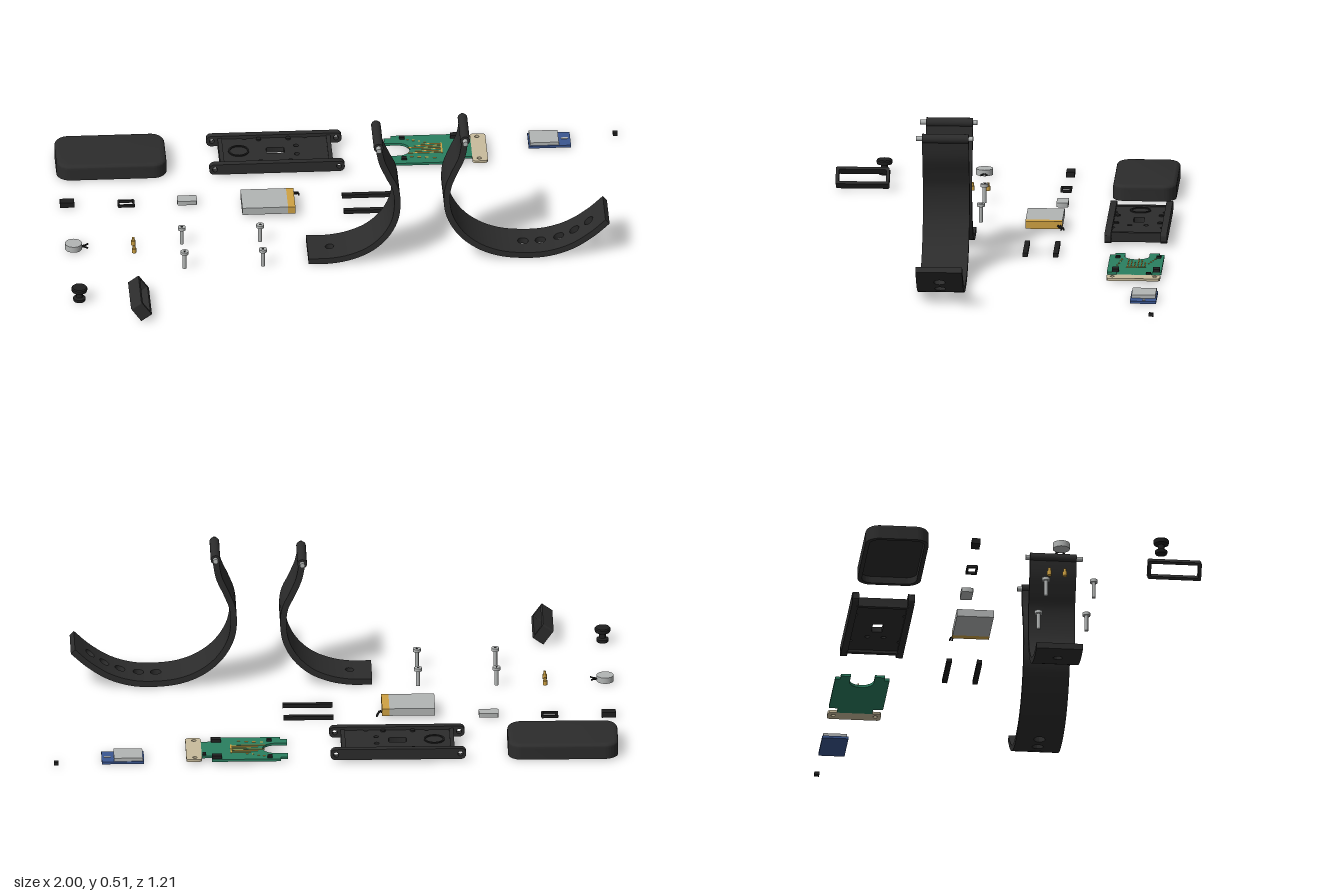
import * as THREE from 'three';
import { toCreasedNormals } from 'three/addons/utils/BufferGeometryUtils.js';

export function createModel() {
  const root = new THREE.Group();
  const paint = (name, color) => {
    const m = new THREE.MeshStandardMaterial({ color });
    m.name = name;
    return m;
  };
  const black = paint('black plastic', 0x2c2c2c);
  const dark = paint('dark rubber', 0x1f1f1f);
  const grey = paint('steel grey', 0xb2b5b4);
  const green = paint('board green', 0x2a7f60);
  const beige = paint('bare board beige', 0xc9bc9c);
  const blue = paint('module blue', 0x3a5690);
  const gold = paint('gold', 0xcfa243);

  const add = (name, geo, mat, x = 0, y = 0, z = 0) => {
    const m = new THREE.Mesh(geo, mat);
    m.name = name;
    m.position.set(x, y, z);
    root.add(m);
    return m;
  };
  // box given by its limits
  const box = (name, mat, x0, x1, y0, y1, z0, z1) => add(name,
    new THREE.BoxGeometry(x1 - x0, y1 - y0, z1 - z0), mat, (x0 + x1) / 2, (y0 + y1) / 2, (z0 + z1) / 2);
  // upright cylinder from y0 to y1
  const cyl = (name, mat, r, x, y0, y1, z, n = 24) =>
    add(name, new THREE.CylinderGeometry(r, r, y1 - y0, n), mat, x, (y0 + y1) / 2, z);
  // cylinder along z
  const rod = (name, mat, r, x, y, z0, z1) =>
    add(name, new THREE.CylinderGeometry(r, r, z1 - z0, 20).rotateX(Math.PI / 2), mat, x, y, (z0 + z1) / 2);
  const tube = (name, mat, r, pts) => add(name, new THREE.TubeGeometry(
    new THREE.CatmullRomCurve3(pts.map(p => new THREE.Vector3(...p))), 16, r, 8), mat);

  // rounded rectangle outline, centred on (cx, cy)
  const roundRect = (w, h, r, cx = 0, cy = 0, Type = THREE.Shape) => {
    const s = new Type();
    const a = w / 2 - r, b = h / 2 - r;
    [[a, b], [-a, b], [-a, -b], [a, -b]].forEach(([x, y], i) =>
      s.absarc(cx + x, cy + y, r, i * Math.PI / 2, (i + 1) * Math.PI / 2, false));
    s.closePath();
    return s;
  };
  const circle = (x, y, r) => new THREE.Path().absarc(x, y, r, 0, Math.PI * 2, false);
  // horizontal plate: shape y becomes -z
  const plate = (name, mat, shape, y0, y1, x = 0, z = 0, bevel = 0) => {
    const g = new THREE.ExtrudeGeometry(shape, {
      depth: y1 - y0 - 2 * bevel, bevelEnabled: bevel > 0, bevelSize: bevel, bevelThickness: bevel,
      bevelOffset: -bevel, bevelSegments: 5, curveSegments: 12,
    });
    return add(name, toCreasedNormals(g.rotateX(-Math.PI / 2), 0.6), mat, x, y0 + bevel, z);
  };

  // Top cover: open shell with a rounded lid
  const wall = roundRect(0.39, 0.225, 0.05);
  wall.holes.push(roundRect(0.36, 0.195, 0.036, 0, 0, THREE.Path));
  plate('coverWall', black, wall, 0.005, 0.045, -0.805, -0.4975);
  plate('coverLid', black, roundRect(0.39, 0.225, 0.05), 0.03, 0.061, -0.805, -0.4975, 0.0145);

  // Base plate with window, screw holes, side rails and end walls
  const base = roundRect(0.4, 0.215, 0.01);
  base.holes.push(roundRect(0.064, 0.038, 0.006, 0, 0, THREE.Path));
  for (const x of [-0.105, 0.11]) for (const s of [-1, 1]) base.holes.push(circle(x, s * 0.09, 0.01));
  for (const s of [-1, 1]) base.holes.push(circle(0.075, s * 0.029, 0.009));
  plate('basePlate', black, base, 0.018, 0.038, -0.22, -0.4975);
  for (const x of [-0.42, -0.035]) box('baseEndWall', black, x, x + 0.015, 0.008, 0.042, -0.59, -0.405);
  for (const z of [-0.608, -0.41]) {
    const rail = roundRect(0.48, 0.04, 0.018);
    for (const s of [-1, 1]) rail.holes.push(circle(s * 0.22, 0, 0.009));
    add('sideRail', toCreasedNormals(new THREE.ExtrudeGeometry(rail, { depth: 0.023, bevelEnabled: false }), 0.6),
      black, -0.22, 0.03, z);
  }
  const ring = new THREE.Shape().absarc(0, 0, 0.037, 0, Math.PI * 2, false);
  ring.holes.push(circle(0, 0, 0.031));
  plate('motorSeat', dark, ring, 0.038, 0.042, -0.35, -0.4975);
  for (const x of [-0.275, -0.17]) for (const z of [-0.575, -0.42])
    cyl('basePost', dark, 0.009, x, 0.038, 0.043, z);

  // Circuit board with a round slot on the left and a bare tab on the right
  const pcb = new THREE.Shape();
  [[0.195, 0.415], [0.44, 0.415], [0.44, 0.45], [0.476, 0.45], [0.476, 0.575], [0.44, 0.575], [0.44, 0.608],
    [0.195, 0.608], [0.195, 0.59], [0.17, 0.59], [0.17, 0.555], [0.215, 0.555]]
    .forEach(([x, y], i) => (i ? pcb.lineTo(x, y) : pcb.moveTo(x, y)));
  pcb.absarc(0.215, 0.512, 0.043, Math.PI / 2, -Math.PI / 2, true);
  [[0.17, 0.469], [0.17, 0.434], [0.195, 0.434]].forEach(([x, y]) => pcb.lineTo(x, y));
  pcb.closePath();
  plate('circuitBoard', green, pcb, 0.008, 0.017);
  const tab = roundRect(0.055, 0.19, 0.012);
  for (const s of [-1, 1]) tab.holes.push(circle(-0.003, s * 0.075, 0.008));
  plate('boardTab', beige, tab, 0.008, 0.017, 0.503, -0.512);
  for (const z of [-0.59, -0.445]) {
    box('chip', dark, 0.405, 0.44, 0.017, 0.028, z - 0.012, z + 0.012);
    box('chip', dark, 0.225, 0.243, 0.017, 0.024, z - 0.008, z + 0.008);
  }
  box('tabChip', dark, 0.46, 0.472, 0.017, 0.024, -0.572, -0.555);
  for (let i = 0; i < 6; i++) {
    const z = -0.545 + i * 0.012;
    box('trace', gold, 0.3 - (i % 3) * 0.025, 0.37, 0.0165, 0.0185, z - 0.002, z + 0.002);
  }
  box('trace', gold, 0.368, 0.373, 0.0165, 0.0185, -0.55, -0.48);
  for (let i = 0; i < 4; i++) {
    box('pad', gold, 0.255 + i * 0.027, 0.267 + i * 0.027, 0.0165, 0.0185, -0.463 + i * 0.004, -0.457 + i * 0.004);
    box('pad', gold, 0.25 + i * 0.02, 0.258 + i * 0.02, 0.0165, 0.0185, -0.582 + i * 0.007, -0.576 + i * 0.007);
  }

  // Radio module
  box('moduleBoard', blue, 0.68, 0.83, 0.003, 0.012, -0.608, -0.515);
  box('moduleShield', grey, 0.685, 0.787, 0.012, 0.024, -0.604, -0.519);
  box('modulePad', grey, 0.798, 0.822, 0.012, 0.014, -0.568, -0.56);

  // Small parts
  box('tinyChip', dark, 0.983, 1, 0, 0.012, -0.607, -0.59);
  box('connector', dark, -1, -0.95, 0, 0.02, -0.235, -0.205);
  const frame = roundRect(0.06, 0.04, 0.004);
  frame.holes.push(roundRect(0.046, 0.026, 0.003, 0, 0, THREE.Path));
  plate('sealFrame', dark, frame, 0, 0.01, -0.766, -0.214);
  plate('lightPad', grey, roundRect(0.07, 0.042, 0.006), 0.004, 0.02, -0.55, -0.212);
  for (const z of [-0.221, -0.113]) box('sealStrip', dark, 0, 0.177, 0, 0.014, z - 0.009, z + 0.009);

  // Battery
  box('batteryCell', grey, -0.36, -0.198, 0.013, 0.04, -0.228, -0.097);
  box('batteryEnd', gold, -0.198, -0.172, 0.013, 0.04, -0.228, -0.097);
  for (const z of [-0.222, -0.214])
    tube('batteryWire', dark, 0.003, [[-0.175, 0.025, z], [-0.163, 0.025, z], [-0.157, 0.02, z - 0.01], [-0.152, 0.012, z - 0.012]]);

  // Vibration motor with two wires
  cyl('motor', grey, 0.03, -0.97, 0.004, 0.026, 0.085, 32);
  for (const s of [-1, 1])
    tube('motorWire', dark, 0.003, [[-0.945, 0.012, 0.085 + s * 0.004], [-0.932, 0.012, 0.085 + s * 0.005], [-0.918, 0.012, 0.085 + s * 0.015]]);

  // Contact pins and screws
  for (const z of [0.063, 0.118]) {
    cyl('contactPin', gold, 0.008, -0.757, 0, 0.016, z, 16);
    cyl('contactTip', gold, 0.005, -0.757, 0.016, 0.028, z, 16);
  }
  for (const x of [-0.585, -0.307]) for (const z of [0.067, 0.237]) {
    cyl('screwShaft', grey, 0.007, x, 0, 0.06, z, 16);
    cyl('screwHead', grey, 0.014, x, 0.058, 0.069, z);
    cyl('screwSocket', dark, 0.005, x, 0.066, 0.0695, z, 6);
  }

  // Strap stud
  const stud = [[0, 0], [0.02, 0], [0.022, 0.004], [0.022, 0.012], [0.012, 0.016], [0.012, 0.034],
    [0.026, 0.038], [0.028, 0.043], [0.028, 0.051], [0.025, 0.055], [0, 0.055]].map(p => new THREE.Vector2(...p));
  add('strapStud', toCreasedNormals(new THREE.LatheGeometry(stud, 32), 0.6), dark, -0.97, 0, 0.44);

  // Tilted strap keeper loop
  const loop = roundRect(0.19, 0.065, 0.006);
  loop.holes.push(roundRect(0.168, 0.045, 0.004, 0, 0, THREE.Path));
  const loopGeo = new THREE.ExtrudeGeometry(loop, { depth: 0.045, bevelEnabled: false })
    .translate(0, 0, -0.0225).rotateY(Math.PI / 2).rotateZ(0.62);
  add('strapKeeper', loopGeo, black, -0.759, 0.0405, 0.507);

  // Curved straps: bands swept along a side curve, split around each hole
  const mid = 0.158, half = 0.0825, thick = 0.011;
  const band = (curve, u0, u1, n, zLo, zHi) => {
    const pos = [], idx = [], rows = [];
    for (let i = 0; i <= n; i++) {
      const u = u0 + (u1 - u0) * i / n;
      const p = curve.getPointAt(u), t = curve.getTangentAt(u);
      const at = (s, z) => [p.x - t.y * s * thick, p.y + t.x * s * thick, z];
      rows.push([at(1, zLo(u)), at(1, zHi(u)), at(-1, zHi(u)), at(-1, zLo(u))]);
    }
    for (let k = 0; k < 4; k++) {
      const b = pos.length / 3;
      rows.forEach(r => pos.push(...r[k], ...r[(k + 1) % 4]));
      for (let i = 0; i < n; i++) {
        const a = b + i * 2;
        idx.push(a, a + 1, a + 3, a, a + 3, a + 2);
      }
    }
    const c = pos.length / 3;
    pos.push(...rows[0].flat(), ...rows[n].flat());
    idx.push(c, c + 2, c + 1, c, c + 3, c + 2, c + 4, c + 5, c + 6, c + 4, c + 6, c + 7);
    const g = new THREE.BufferGeometry();
    g.setAttribute('position', new THREE.Float32BufferAttribute(pos, 3));
    g.setIndex(idx);
    g.computeVertexNormals();
    return g;
  };
  const strap = (name, pts, holes, r) => {
    const curve = new THREE.CatmullRomCurve3(pts.map(([x, y]) => new THREE.Vector3(x, y, 0)));
    const len = curve.getLength(), ru = r / len;
    const lo = () => mid - half, hi = () => mid + half;
    let from = 0;
    for (const hx of holes) {
      let uc = 1;
      for (let u = 1; u > 0.5; u -= 0.002)
        if (Math.abs(curve.getPointAt(u).x - hx) < Math.abs(curve.getPointAt(uc).x - hx)) uc = u;
      const gap = u => Math.sqrt(Math.max(0, r * r - ((u - uc) * len) ** 2));
      add(name, band(curve, from, uc - ru, from ? 6 : 48, lo, hi), black);
      add(name, band(curve, uc - ru, uc + ru, 14, lo, u => mid - gap(u)), black);
      add(name, band(curve, uc - ru, uc + ru, 14, u => mid + gap(u), hi), black);
      from = uc + ru;
    }
    add(name, band(curve, from, 1, 10, lo, hi), black);
    const [x, y] = pts[0];
    rod(name + 'Barrel', black, 0.017, x, y, mid - half, mid + half);
    rod(name + 'SpringBar', grey, 0.009, x, y, 0.06, 0.263);
  };
  strap('shortStrap', [[0.103, 0.47], [0.115, 0.41], [0.14, 0.35], [0.163, 0.3], [0.17, 0.24], [0.16, 0.17],
    [0.125, 0.105], [0.07, 0.055], [0, 0.025], [-0.07, 0.013], [-0.145, 0.013]], [-0.065], 0.016);
  strap('longStrap', [[0.41, 0.489], [0.398, 0.42], [0.37, 0.355], [0.35, 0.3], [0.346, 0.23], [0.36, 0.17],
    [0.4, 0.105], [0.46, 0.055], [0.53, 0.025], [0.61, 0.013], [0.7, 0.016], [0.785, 0.042], [0.86, 0.09],
    [0.915, 0.14]], [0.62, 0.683, 0.749, 0.807, 0.86], 0.02);

  return root;
}
